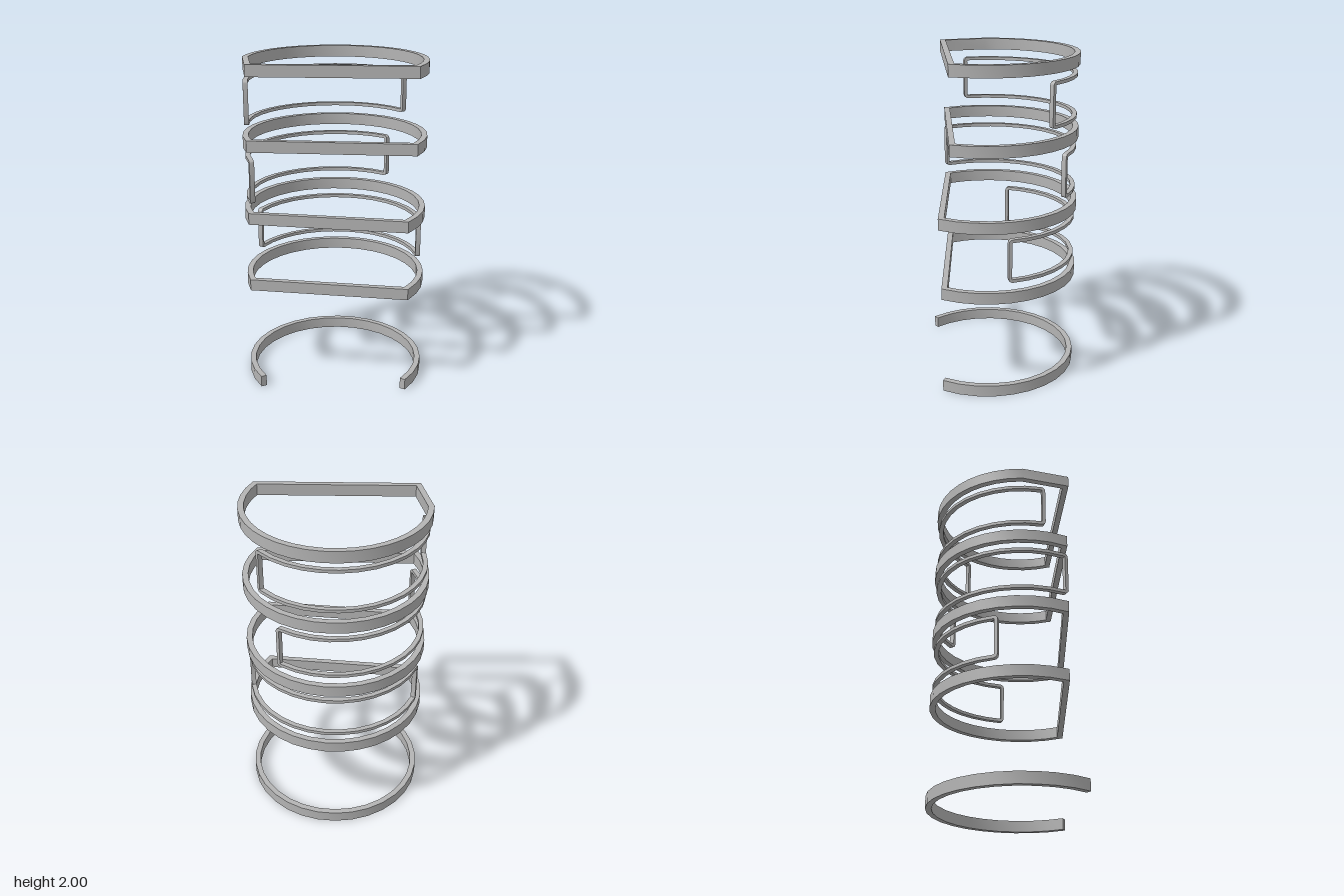
import * as THREE from 'three';
import { toCreasedNormals } from 'three/addons/utils/BufferGeometryUtils.js';

const CZ = 0.052; // z of the common vertical axis
const rad = THREE.MathUtils.degToRad;

// Skin a list of four-cornered cross-sections into a closed loop or a capped bar
function loft(sections, closed) {
  const pos = [];
  const quad = (a, b, c, d) => [a, b, c, a, c, d].forEach((p) => pos.push(...p));
  const n = sections.length;
  for (let i = 0; i < (closed ? n : n - 1); i++) {
    const A = sections[i], B = sections[(i + 1) % n];
    for (let j = 0; j < 4; j++) {
      const k = (j + 1) % 4;
      quad(A[j], A[k], B[k], B[j]);
    }
  }
  if (!closed) {
    const [a, b, c, d] = sections[0];
    quad(a, d, c, b);
    quad(...sections[n - 1]);
  }
  const g = new THREE.BufferGeometry();
  g.setAttribute('position', new THREE.Float32BufferAttribute(pos, 3));
  return toCreasedNormals(g, rad(28));
}

// Flat band around the back, from angle a0 to a1 (degrees, decreasing);
// a closed band is joined by a straight mitred bar across the front
function bandGeometry(y, a0, a1, closed, arcEnd = a1) {
  const R = 0.535, half = 0.0175, height = 0.07, steps = 22;
  const path = [];
  const add = (a) => path.push(new THREE.Vector2(R * Math.cos(rad(a)), CZ + R * Math.sin(rad(a))));
  for (let i = 0; i <= steps; i++) add(a0 + ((arcEnd - a0) * i) / steps);
  if (arcEnd !== a1) add(a1);
  const n = path.length;
  const normal = (i) => {
    const d = path[(i + 1) % n].clone().sub(path[i]).normalize();
    return new THREE.Vector2(-d.y, d.x);
  };
  const sections = path.map((p, i) => {
    let before = normal((i + n - 1) % n), after = normal(i);
    if (!closed && i === 0) before = after;
    if (!closed && i === n - 1) after = before;
    const m = before.clone().add(after).normalize();
    m.multiplyScalar(half / m.dot(after));
    const inner = p.clone().sub(m), outer = p.clone().add(m);
    return [
      [inner.x, y, inner.y], [inner.x, y + height, inner.y],
      [outer.x, y + height, outer.y], [outer.x, y, outer.y],
    ];
  });
  return loft(sections, closed);
}

// Rounded rectangular frame wrapped around the axis
function frameGeometry(yLow, yHigh, a0, a1) {
  const R = 0.526, h = 0.01, depth = 0.0145, c = 0.014, rail = 14, bend = 3;
  const L = R * rad(a0 - a1) , y0 = yLow + h, y1 = yHigh - h;
  const pts = []; // [s, y, inward s, inward y]
  const corner = (s, y, from) => {
    for (let i = 0; i <= bend; i++) {
      const t = rad(from + (90 * i) / bend);
      pts.push([s + c * Math.cos(t), y + c * Math.sin(t), -Math.cos(t), -Math.sin(t)]);
    }
  };
  const railPoints = (y, ny, dir) => {
    for (let i = 1; i < rail; i++) {
      const f = dir > 0 ? i / rail : 1 - i / rail;
      pts.push([c + (L - 2 * c) * f, y, 0, ny]);
    }
  };
  railPoints(y0, 1, 1);
  corner(L - c, y0 + c, -90);
  corner(L - c, y1 - c, 0);
  railPoints(y1, -1, -1);
  corner(c, y1 - c, 90);
  corner(c, y0 + c, 180);
  const sections = pts.map(([s, y, ns, ny]) => {
    const at = (k, r) => {
      const a = rad(a0) - (s + k * ns) / R;
      return [r * Math.cos(a), y + k * ny, CZ + r * Math.sin(a)];
    };
    return [at(-h, R - depth), at(h, R - depth), at(h, R + depth), at(-h, R + depth)];
  });
  return loft(sections, true);
}

export function createModel() {
  const model = new THREE.Group();
  const grey = new THREE.MeshStandardMaterial({ color: 0xb4b4b4 });
  grey.name = 'grey';
  const add = (name, geometry) => {
    const mesh = new THREE.Mesh(geometry, grey);
    mesh.name = name;
    model.add(mesh);
  };

  // Open base arc and four closed bands
  add('baseArc', bandGeometry(0, 16.5, 124 - 360, false));
  add('lowerBand', bandGeometry(0.61, 15, 138 - 360, true));
  add('middleBand', bandGeometry(1.042, 16.5, 137 - 360, true));
  add('upperBand', bandGeometry(1.487, 8, 137 - 360, true));
  add('topBand', bandGeometry(1.93, 7.8, 134.6 - 360, true, 165 - 360));

  // Curved window frames between the bands, each turned further round
  add('lowerFrame', frameGeometry(0.733, 1.0, -27.5, 181.5 - 360));
  add('middleFrame', frameGeometry(1.17, 1.44, -72.5, 136 - 360));
  add('upperFrame', frameGeometry(1.613, 1.882, -57.5, 151 - 360));
  return model;
}
